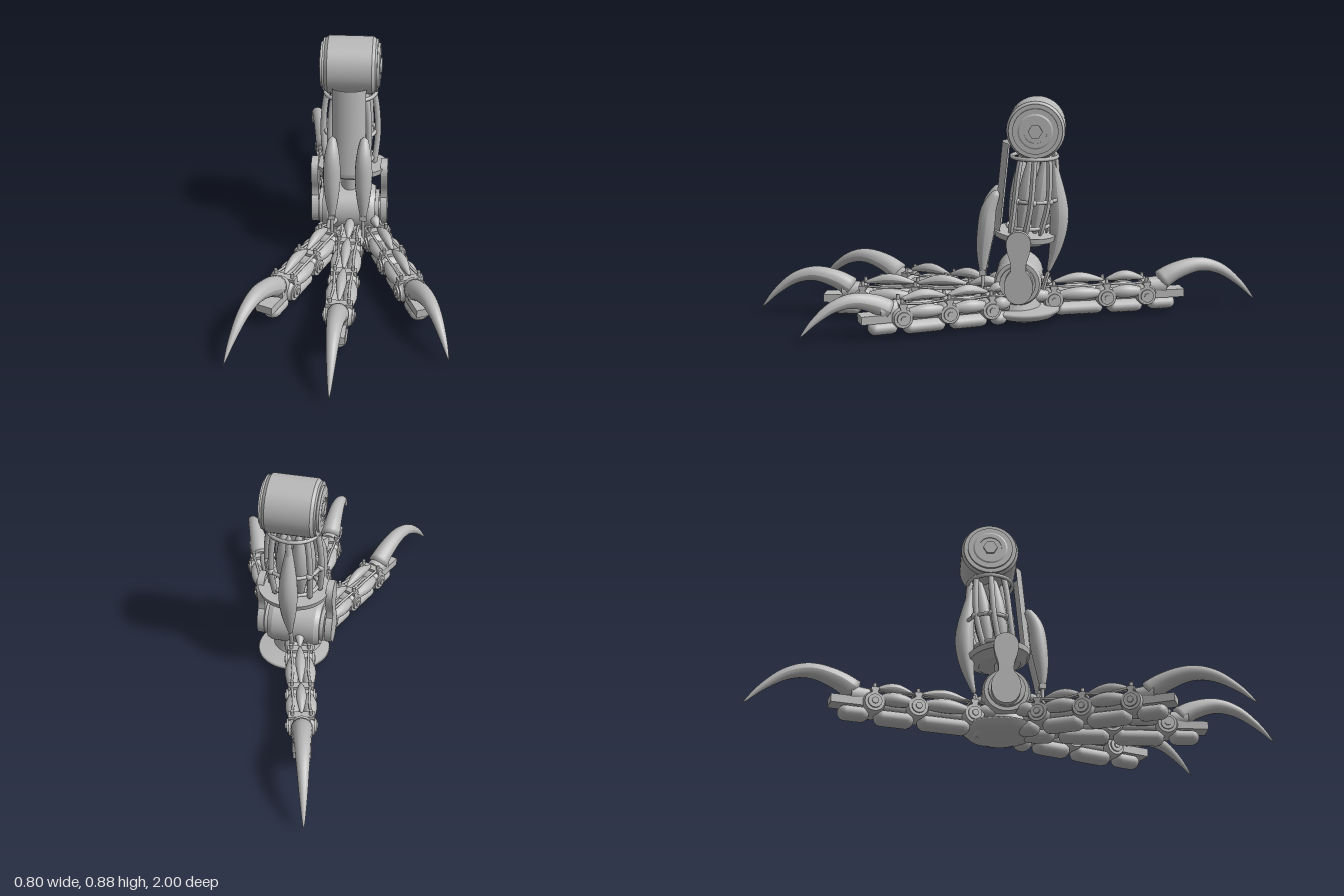
import * as THREE from 'three';

const steel = new THREE.MeshStandardMaterial({ color: 0xb8b8b8 });
steel.name = 'grey steel';
steel.side = THREE.DoubleSide;
const V = (x, y, z) => new THREE.Vector3(x, y, z);

function add(parent, name, geometry, x = 0, y = 0, z = 0) {
  const mesh = new THREE.Mesh(geometry, steel);
  mesh.name = name;
  mesh.position.set(x, y, z);
  parent.add(mesh);
  return mesh;
}

// Tube along points whose radius follows radiusAt(t)
function taperedTube(points, radiusAt, segments = 20, sides = 14) {
  const curve = new THREE.CatmullRomCurve3(points);
  const geo = new THREE.TubeGeometry(curve, segments, 1, sides);
  const pos = geo.attributes.position, p = V(0, 0, 0);
  for (let i = 0; i < pos.count; i++) {
    const t = Math.floor(i / (sides + 1)) / segments;
    const c = curve.getPointAt(t);
    p.fromBufferAttribute(pos, i).sub(c).multiplyScalar(radiusAt(t)).add(c);
    pos.setXYZ(i, p.x, p.y, p.z);
  }
  geo.computeVertexNormals();
  return geo;
}
// Muscle-like swelling with closed, narrow ends
const swell = (r, end = 0.2) => t =>
  t === 0 || t === 1 ? 0.0005 : r * (end + (1 - end) * Math.pow(Math.sin(Math.PI * t), 1.1));
const rod = (r) => t => (t === 0 || t === 1 ? 0.0005 : r);

// Stepped drum lying along x; profile is [radius, half width] from rim to hub
function drum(profile) {
  const pts = [...profile.map(([r, w]) => [r, -w]).reverse(), ...profile];
  const out = [];
  pts.forEach(([r, w], i) => {
    // Doubled points keep the steps crisp
    out.push(new THREE.Vector2(r, w));
    if (i > 0 && i < pts.length - 1) out.push(new THREE.Vector2(r, w));
  });
  return new THREE.LatheGeometry(out, 40).rotateZ(-Math.PI / 2);
}

function claw(parent, start, end, height) {
  const L = end - start;
  const pts = [[0, 0.115], [0.18, 0.155], [0.42, 0.178], [0.63, 0.158], [0.84, 0.098], [1, 0.03]]
    .map(([t, y]) => V(0, 0.03 + (y - 0.03) * height, start + t * L));
  add(parent, 'claw', taperedTube(pts, t =>
    t === 0 ? 0.0005 : 0.042 * Math.pow(1 - t, 0.75) + 0.0005, 28, 16));
}

function knuckle(parent, z) {
  add(parent, 'knuckle', drum([[0.042, 0.036], [0.037, 0.044], [0.037, 0.05],
    [0.026, 0.05], [0.026, 0.057], [0.012, 0.057], [0.012, 0.062], [0, 0.062]]), 0, 0.08, z);
  add(parent, 'knuckleStrap', new THREE.BoxGeometry(0.1, 0.012, 0.03), 0, 0.13, z);
  for (const s of [-1, 1]) {
    add(parent, 'strapPost', new THREE.BoxGeometry(0.008, 0.05, 0.022), s * 0.046, 0.112, z);
    add(parent, 'strapPin', new THREE.CylinderGeometry(0.007, 0.007, 0.03, 10), s * 0.035, 0.14, z);
  }
}

function toeSegment(parent, a, b) {
  const m = (a + b) / 2, len = b - a;
  // Bone and paired side muscles
  add(parent, 'toeBone', new THREE.CylinderGeometry(0.022, 0.022, len, 12).rotateX(Math.PI / 2), 0, 0.08, m);
  for (const s of [-1, 1]) {
    add(parent, 'sideMuscle', taperedTube([V(s * 0.028, 0.095, a), V(s * 0.034, 0.1, m), V(s * 0.028, 0.095, b)],
      swell(0.027, 0.35)));
    add(parent, 'toeTendon', taperedTube([V(s * 0.036, 0.136, a), V(s * 0.03, 0.128, m), V(s * 0.036, 0.136, b)],
      rod(0.005), 10, 8));
  }
  // Cable muscle on top
  add(parent, 'topMuscle', taperedTube([V(0, 0.142, a), V(0, 0.158, m), V(0, 0.142, b)], swell(0.02, 0.25)));
  // Rounded walking pad
  const r = 0.029, pad = new THREE.CapsuleGeometry(r, Math.max(0.01, len - 2 * r - 0.015), 8, 16);
  add(parent, 'toePad', pad.rotateX(Math.PI / 2).scale(1.35, 1, 1), 0, 0.035, m);
}

function toe(name, start, tip, joints, clawStart, clawHeight) {
  const g = new THREE.Group();
  g.name = name;
  const dx = tip[0] - start[0], dz = tip[1] - start[1];
  g.position.set(start[0], 0, start[1]);
  g.rotation.y = Math.atan2(dx, dz);
  joints.forEach((z, i) => {
    knuckle(g, z);
    if (i) toeSegment(g, joints[i - 1], z);
  });
  toeSegment(g, 0, joints[0]);
  // Claw socket, end bracket and last pad
  const last = joints[joints.length - 1];
  add(g, 'clawBracket', new THREE.BoxGeometry(0.068, 0.032, 0.17), 0, 0.081, last + 0.075);
  add(g, 'clawSocket', new THREE.CylinderGeometry(0.04, 0.034, 0.07, 16).rotateX(Math.PI / 2), 0, 0.11, last + 0.05);
  const pad = new THREE.CapsuleGeometry(0.028, 0.06, 8, 16).rotateX(Math.PI / 2).scale(1.3, 1, 1);
  add(g, 'tipPad', pad, 0, 0.04, last + 0.07);
  claw(g, clawStart, Math.hypot(dx, dz), clawHeight);
  return g;
}

function createModel() {
  const model = new THREE.Group();
  model.name = 'mechanicalTalonFoot';
  const cx = -0.008;

  // Toes
  model.add(
    toe('middleToe', [0, 0.02], [-0.01, 1], [0.14, 0.35, 0.56], 0.6, 0.98),
    toe('leftToe', [0.08, 0], [0.4, 0.76], [0.08, 0.25, 0.435], 0.47, 0.84),
    toe('rightToe', [-0.05, 0], [-0.4, 0.84], [0.1, 0.272, 0.457], 0.5, 1),
    toe('backToe', [-0.02, -0.05], [-0.25, -1], [0.123, 0.34, 0.505], 0.56, 1.08));

  // Sole dish and hub
  add(model, 'solePlate', new THREE.LatheGeometry([[0, 0], [0.07, 0.006], [0.12, 0.024], [0.145, 0.045],
    [0.14, 0.055], [0, 0.065]].map(p => new THREE.Vector2(...p)), 40), 0, 0, -0.06);
  add(model, 'footHub', new THREE.CylinderGeometry(0.075, 0.1, 0.09, 32), cx, 0.09, -0.03);

  // Ankle drum and neck
  add(model, 'ankleDrum', drum([[0.093, 0.085], [0.085, 0.105], [0.07, 0.105], [0.07, 0.12],
    [0.045, 0.12], [0.045, 0.13], [0, 0.13]]), cx, 0.172, -0.04);
  add(model, 'ankleNeck', new THREE.CylinderGeometry(0.036, 0.032, 0.12, 24), cx, 0.29, -0.045);

  // Waisted ankle side plates
  const plate = new THREE.Shape();
  plate.moveTo(-0.048, 0.34);
  plate.bezierCurveTo(-0.045, 0.405, 0.045, 0.405, 0.048, 0.34);
  plate.bezierCurveTo(0.045, 0.28, 0.025, 0.28, 0.03, 0.23);
  plate.bezierCurveTo(0.075, 0.19, 0.06, 0.1, 0, 0.1);
  plate.bezierCurveTo(-0.06, 0.1, -0.075, 0.19, -0.03, 0.23);
  plate.bezierCurveTo(-0.025, 0.28, -0.045, 0.28, -0.048, 0.34);
  const plateGeo = new THREE.ExtrudeGeometry(plate, { depth: 0.028, bevelEnabled: false, curveSegments: 14 });
  plateGeo.translate(0, 0, -0.014).rotateY(Math.PI / 2);
  for (const s of [-1, 1]) add(model, 'ankleSidePlate', plateGeo, cx + s * 0.138, 0, -0.045);

  // Tilted ankle disc
  const disc = new THREE.Group();
  disc.name = 'ankleDisc';
  disc.position.set(cx + 0.008, 0.343, -0.062);
  disc.rotation.x = -0.1;
  model.add(disc);
  add(disc, 'discRim', new THREE.CylinderGeometry(0.143, 0.138, 0.022, 40), 0, 0.008, 0).scale.z = 0.86;
  add(disc, 'discUnderside', new THREE.CylinderGeometry(0.128, 0.095, 0.02, 40), 0, -0.013, 0).scale.z = 0.86;

  // Shin cage: rings, outer pipes and inner muscles
  for (const [y, z, r] of [[0.66, -0.1, 0.1], [0.492, -0.1, 0.1], [0.385, -0.075, 0.09]])
    add(model, 'shinRing', new THREE.TorusGeometry(r, 0.008, 8, 40).rotateX(Math.PI / 2), cx, y, z).scale.z = 0.9;
  for (let i = 0; i < 8; i++) {
    const a = (i / 8) * Math.PI * 2, c = Math.cos(a), s = Math.sin(a);
    if (s > 0.9) continue;
    const at = (r, y, z) => V(cx + c * r, y, z + s * r * 0.85);
    add(model, 'shinPipe', taperedTube([at(0.095, 0.35, -0.065), at(0.108, 0.48, -0.09), at(0.102, 0.6, -0.1),
      at(0.085, 0.69, -0.105)], rod(0.012), 16, 10));
    add(model, 'pipeClamp', new THREE.SphereGeometry(0.014, 12, 8), cx + c * 0.104, 0.492, -0.1 + s * 0.09);
  }
  for (let i = 0; i < 5; i++) {
    const a = Math.PI / 2 + (i / 5) * Math.PI * 2, x = cx + Math.cos(a) * 0.05, z = Math.sin(a) * 0.05;
    add(model, 'shinMuscle', taperedTube([V(x, 0.35, z - 0.06), V(x, 0.5, z - 0.085), V(x, 0.67, z - 0.105)],
      swell(0.033, 0.3)));
  }
  add(model, 'shinBone', taperedTube([V(cx, 0.33, -0.05), V(cx, 0.52, -0.08), V(cx, 0.7, -0.107)], rod(0.025)));

  // Curved shin guard
  const guard = new THREE.CylinderGeometry(0.09, 0.09, 0.35, 20, 1, true, -0.82, 1.64).translate(0, 0, -0.09);
  add(model, 'shinGuard', guard, cx, 0.545, 0.043).rotation.x = -0.1;

  // Front calf muscles with tendons
  for (const x of [cx - 0.062, cx + 0.062]) {
    add(model, 'frontCalf', taperedTube([V(x, 0.535, 0.04), V(x, 0.46, 0.075), V(x, 0.37, 0.088),
      V(x, 0.28, 0.098), V(x, 0.2, 0.1)], t => (t === 0 || t === 1 ? 0.0005
      : 0.01 + 0.024 * Math.pow(Math.sin(Math.PI * Math.pow(t, 0.85)), 0.9)), 28, 16));
    add(model, 'calfClamp', new THREE.BoxGeometry(0.027, 0.02, 0.027), x, 0.205, 0.1);
    add(model, 'calfTendon', new THREE.CylinderGeometry(0.007, 0.007, 0.1, 10), x, 0.15, 0.1);
  }

  // Single rear calf
  add(model, 'rearCalf', taperedTube([V(cx, 0.655, -0.175), V(cx, 0.56, -0.186), V(cx, 0.42, -0.198),
    V(cx, 0.3, -0.185), V(cx, 0.19, -0.155)], t => (t === 0 || t === 1 ? 0.0005
    : 0.008 + 0.029 * Math.pow(Math.sin(Math.PI * t), 1.3)), 28, 16));
  add(model, 'rearTendon', taperedTube([V(cx, 0.2, -0.158), V(cx, 0.14, -0.14), V(cx, 0.09, -0.13)], rod(0.009), 10, 8));

  // Knee drum with hex bolts
  add(model, 'kneeDrum', drum([[0.113, 0.086], [0.104, 0.098], [0.104, 0.106], [0.088, 0.106], [0.088, 0.115],
    [0.068, 0.115], [0.062, 0.118], [0.045, 0.118], [0.045, 0.114], [0, 0.114]]), cx, 0.772, -0.107);
  for (const s of [-1, 1])
    add(model, 'kneeBolt', new THREE.CylinderGeometry(0.028, 0.028, 0.014, 6).rotateZ(Math.PI / 2),
      cx + s * 0.116, 0.772, -0.107);
  return model;
}

export { createModel };
